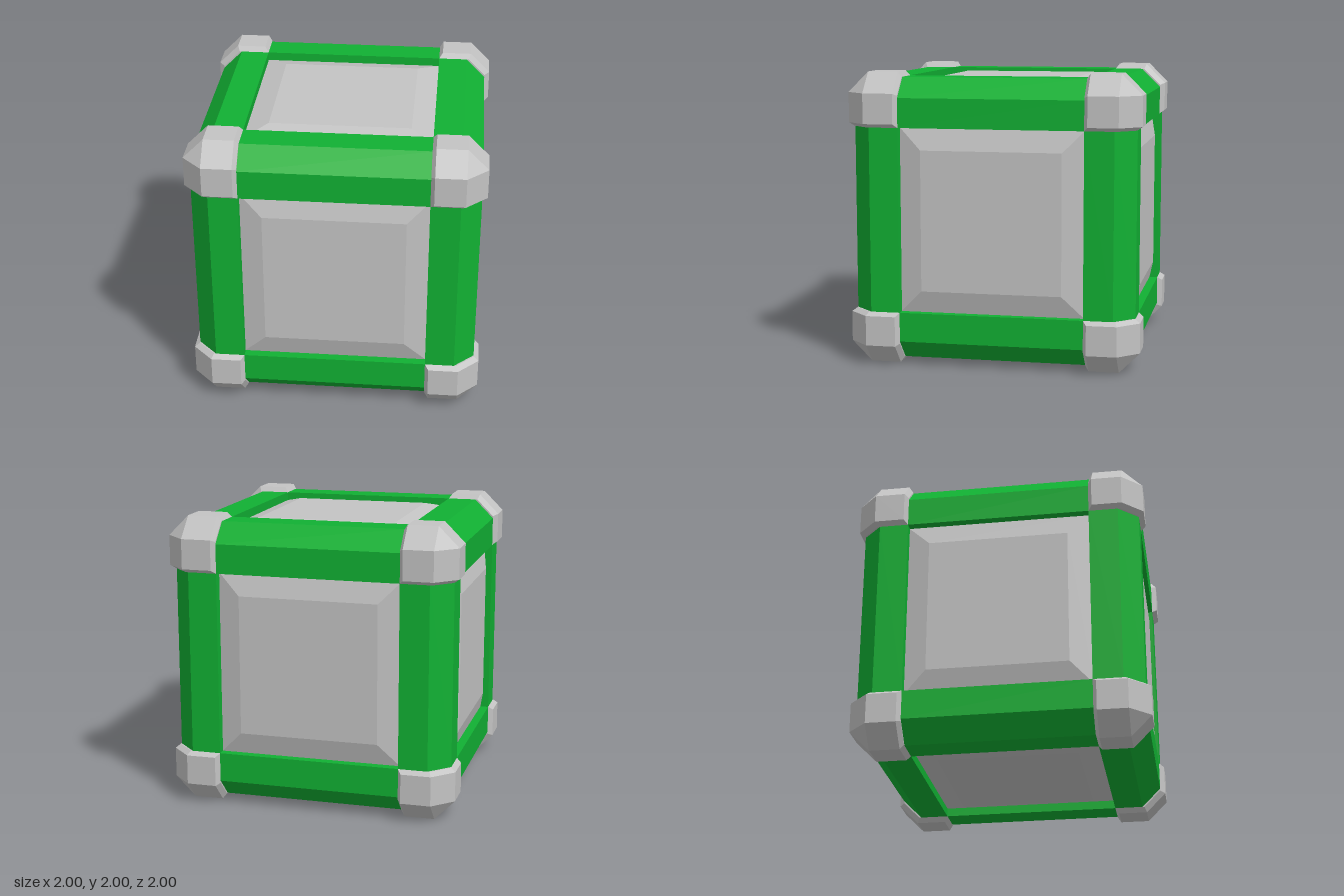
import * as THREE from 'three';
import { ConvexGeometry } from 'three/addons/geometries/ConvexGeometry.js';

const HALF_PI = Math.PI / 2;

// Points of one corner cap in the octant given by the signs
function capPoints(sx, sy, sz) {
  const outer = 1, edge = 0.86, lip = 0.655, inner = 0.63, rim = 0.965, rimEdge = 0.845;
  const base = [
    [edge, edge, outer], [edge, lip, outer], [lip, edge, outer], [lip, lip, outer],
    [inner, inner, rim], [inner, rimEdge, rim], [rimEdge, inner, rim], [inner, inner, inner],
  ];
  const points = [];
  for (const [a, b, c] of base) {
    for (const [x, y, z] of [[a, b, c], [b, c, a], [c, a, b]]) {
      points.push(new THREE.Vector3(x * sx, y * sy, z * sz));
    }
  }
  return points;
}

// Square beam with one chamfered outer edge, running along z
function beamGeometry() {
  const shape = new THREE.Shape([
    [0.63, 0.63], [0.965, 0.63], [0.965, 0.83], [0.83, 0.965], [0.63, 0.965],
  ].map(([x, y]) => new THREE.Vector2(x, y)));
  const geometry = new THREE.ExtrudeGeometry(shape, { depth: 1.28, bevelEnabled: false });
  return geometry.translate(0, 0, -0.64);
}

// Raised panel with sloping borders, facing +y
function panelGeometry() {
  const bottom = 0.905, height = 0.042;
  let geometry = new THREE.CylinderGeometry(0.48 * Math.SQRT2, 0.63 * Math.SQRT2, height, 4, 1);
  geometry.rotateY(Math.PI / 4).translate(0, bottom + height / 2, 0);
  geometry = geometry.toNonIndexed();
  geometry.computeVertexNormals();
  return geometry;
}

export function createModel() {
  const green = new THREE.MeshStandardMaterial({ color: 0x11b033 });
  green.name = 'green frame';
  const grey = new THREE.MeshStandardMaterial({ color: 0xc3c3c3 });
  grey.name = 'light grey';

  const model = new THREE.Group();
  model.name = 'crate';
  const body = new THREE.Group();
  body.name = 'crateBody';
  body.position.y = 1;
  model.add(body);

  // Twelve edge beams, four along each axis
  const beam = beamGeometry();
  const axes = { depthBeams: [0, 0], widthBeams: [0, HALF_PI], uprightBeams: [HALF_PI, 0] };
  for (const [name, [rx, ry]] of Object.entries(axes)) {
    const set = new THREE.Group();
    set.name = name;
    set.rotation.set(rx, ry, 0);
    for (let i = 0; i < 4; i++) {
      const mesh = new THREE.Mesh(beam, green);
      mesh.name = 'beam';
      mesh.rotation.z = i * HALF_PI;
      set.add(mesh);
    }
    body.add(set);
  }

  // Six recessed panels
  const panel = panelGeometry();
  const sides = {
    topPanel: [0, 0], bottomPanel: [Math.PI, 0], frontPanel: [HALF_PI, 0],
    backPanel: [-HALF_PI, 0], leftPanel: [0, -HALF_PI], rightPanel: [0, HALF_PI],
  };
  for (const [name, [rx, rz]] of Object.entries(sides)) {
    const mesh = new THREE.Mesh(panel, grey);
    mesh.name = name;
    mesh.rotation.set(rx, 0, rz);
    body.add(mesh);
  }

  // Eight faceted corner caps
  for (const sx of [-1, 1]) for (const sy of [-1, 1]) for (const sz of [-1, 1]) {
    const mesh = new THREE.Mesh(new ConvexGeometry(capPoints(sx, sy, sz)), grey);
    mesh.name = 'cornerCap';
    body.add(mesh);
  }
  return model;
}
